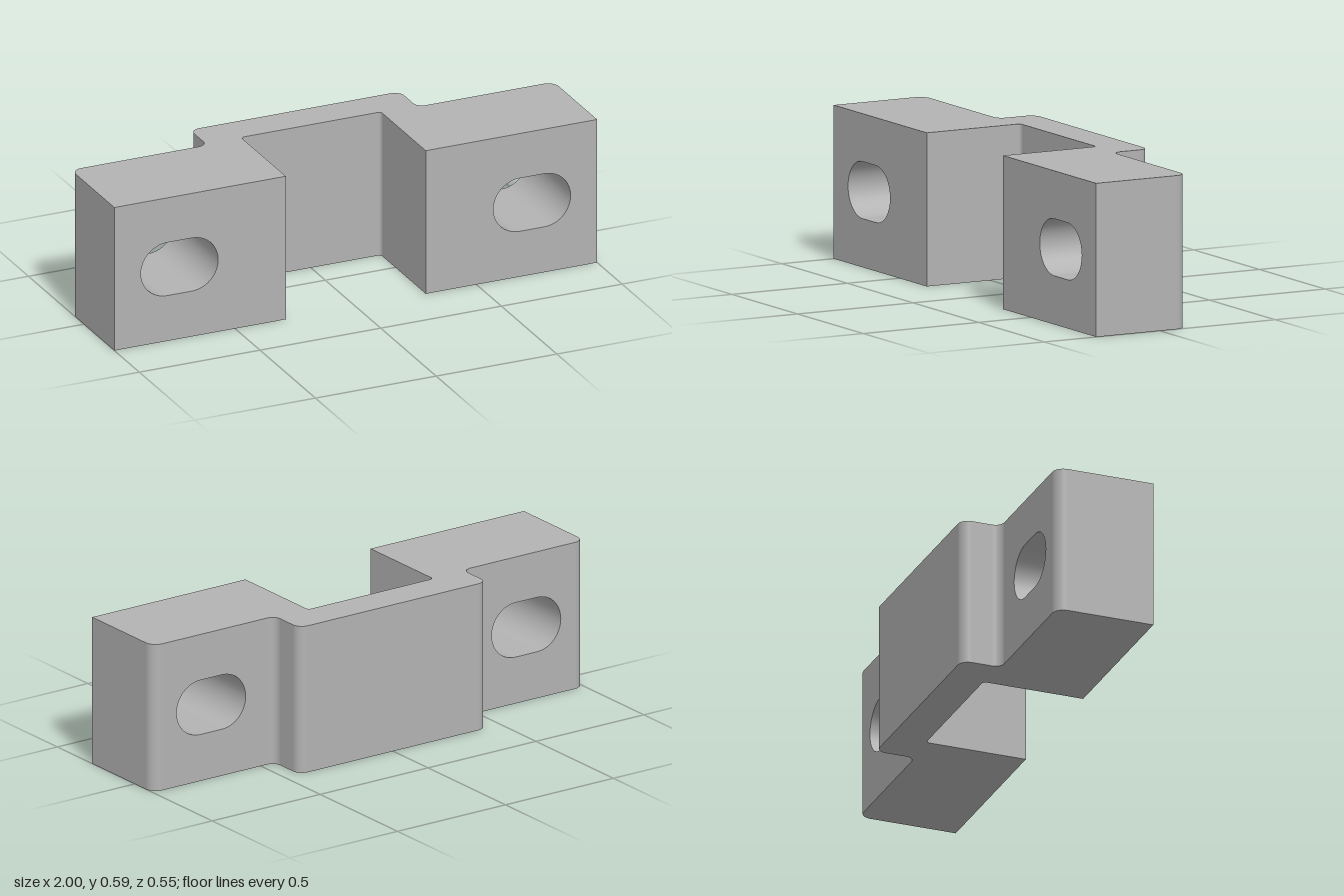
import * as THREE from 'three';

const H = 0.587;            // bracket height
const FRONT = 0.275;        // z of the foot fronts, and -z of the bridge back
const FOOT_BACK = 0.117;    // -z of the foot backs
const MID_Y = 0.295;
const SLOT_X = 0.73, SLOT_R = 0.109, SLOT_HALF = 0.051;
const END_R = 0.045, FILLET = 0.035, BRIDGE_R = 0.04, INNER_R = 0.015;
const BRIDGE_X = 0.435, INNER_X = 0.29, INNER_S = 0.13;

// Profile point with its normal
const pt = (x, y, nx, ny) => ({ x, y, nx, ny });

// Arc in degrees; a falling angle makes a concave arc
function arc(cx, cy, r, from, to, steps = 10) {
  const side = to > from ? 1 : -1;
  return Array.from({ length: steps + 1 }, (_, i) => {
    const a = THREE.MathUtils.degToRad(from + (to - from) * i / steps);
    const c = Math.cos(a), s = Math.sin(a);
    return pt(cx + r * c, cy + r * s, side * c, side * s);
  });
}

// Smooth ribbon standing on a run of profile points
function wall(points, depth) {
  const pos = [], nor = [], idx = [];
  points.forEach((p, i) => {
    pos.push(p.x, p.y, 0, p.x, p.y, depth);
    nor.push(p.nx, p.ny, 0, p.nx, p.ny, 0);
    const a = 2 * i;
    if (i < points.length - 1) idx.push(a, a + 2, a + 3, a, a + 3, a + 1);
  });
  const g = new THREE.BufferGeometry();
  g.setAttribute('position', new THREE.Float32BufferAttribute(pos, 3));
  g.setAttribute('normal', new THREE.Float32BufferAttribute(nor, 3));
  g.setIndex(idx);
  return g;
}

const flat = (points) =>
  new THREE.ShapeGeometry(new THREE.Shape(points.map((p) => new THREE.Vector2(p.x, p.y))));

// Rounded slot outline, run clockwise so that its wall faces inwards
function slot(cx) {
  const pts = [
    ...arc(cx + SLOT_HALF, MID_Y, SLOT_R, 90, -90, 20),
    ...arc(cx - SLOT_HALF, MID_Y, SLOT_R, 270, 90, 20),
  ];
  return [...pts, pts[0]];
}

// Rectangular face pierced by a slot
function slottedPlate(x0, x1, cx) {
  const shape = new THREE.Shape([
    new THREE.Vector2(x0, 0), new THREE.Vector2(x1, 0),
    new THREE.Vector2(x1, H), new THREE.Vector2(x0, H),
  ]);
  shape.holes.push(new THREE.Path(slot(cx).slice(0, -1).map((p) => new THREE.Vector2(p.x, p.y))));
  return new THREE.ShapeGeometry(shape);
}

export function createModel() {
  const model = new THREE.Group();
  model.name = 'slottedBracket';
  const metal = new THREE.MeshStandardMaterial({ color: 0xb3b3b3 });
  metal.name = 'grey metal';
  const add = (name, geometry) => {
    const mesh = new THREE.Mesh(geometry, metal);
    mesh.name = name;
    model.add(mesh);
  };

  // Plan outline in x and -z, counter-clockwise, as separate smooth runs
  const endY = FOOT_BACK - END_R, filletY = FOOT_BACK + FILLET;
  const leftEnd = [
    pt(1, -FRONT, 1, 0),
    ...arc(1 - END_R, endY, END_R, 0, 90),
  ];
  const bridgeBack = [
    ...arc(BRIDGE_X + FILLET, filletY, FILLET, 270, 180),
    ...arc(BRIDGE_X - BRIDGE_R, FRONT - BRIDGE_R, BRIDGE_R, 0, 90),
    ...arc(-BRIDGE_X + BRIDGE_R, FRONT - BRIDGE_R, BRIDGE_R, 90, 180),
    ...arc(-BRIDGE_X - FILLET, filletY, FILLET, 0, -90),
  ];
  const rightEnd = [
    ...arc(-1 + END_R, endY, END_R, 90, 180),
    pt(-1, -FRONT, -1, 0),
  ];
  const channel = [
    pt(-INNER_X, -FRONT, 1, 0),
    ...arc(-INNER_X + INNER_R, INNER_S - INNER_R, INNER_R, 180, 90),
    ...arc(INNER_X - INNER_R, INNER_S - INNER_R, INNER_R, 90, 0),
    pt(INNER_X, -FRONT, -1, 0),
  ];

  // Upright walls
  const runs = { leftEnd, bridgeBack, rightEnd, channel };
  for (const [name, run] of Object.entries(runs)) {
    add(name + 'Wall', wall(run, H).rotateX(-Math.PI / 2));
  }

  // Top and underside
  const outline = Object.values(runs).flat();
  add('topFace', flat(outline).rotateX(-Math.PI / 2).translate(0, H, 0));
  add('underside', flat(outline.map((p) => ({ x: p.x, y: -p.y }))).rotateX(Math.PI / 2));

  // Feet: pierced front and back faces, and the slot between them
  for (const [side, s] of [['left', 1], ['right', -1]]) {
    const cx = s * SLOT_X;
    add(side + 'FootFront', slottedPlate(s * INNER_X, s, cx).translate(0, 0, FRONT));
    add(side + 'FootBack',
      slottedPlate(-s * (BRIDGE_X + FILLET), -s * (1 - END_R), -cx)
        .rotateY(Math.PI).translate(0, 0, -FOOT_BACK));
    add(side + 'SlotWall', wall(slot(cx), FRONT + FOOT_BACK).translate(0, 0, -FOOT_BACK));
  }
  return model;
}
